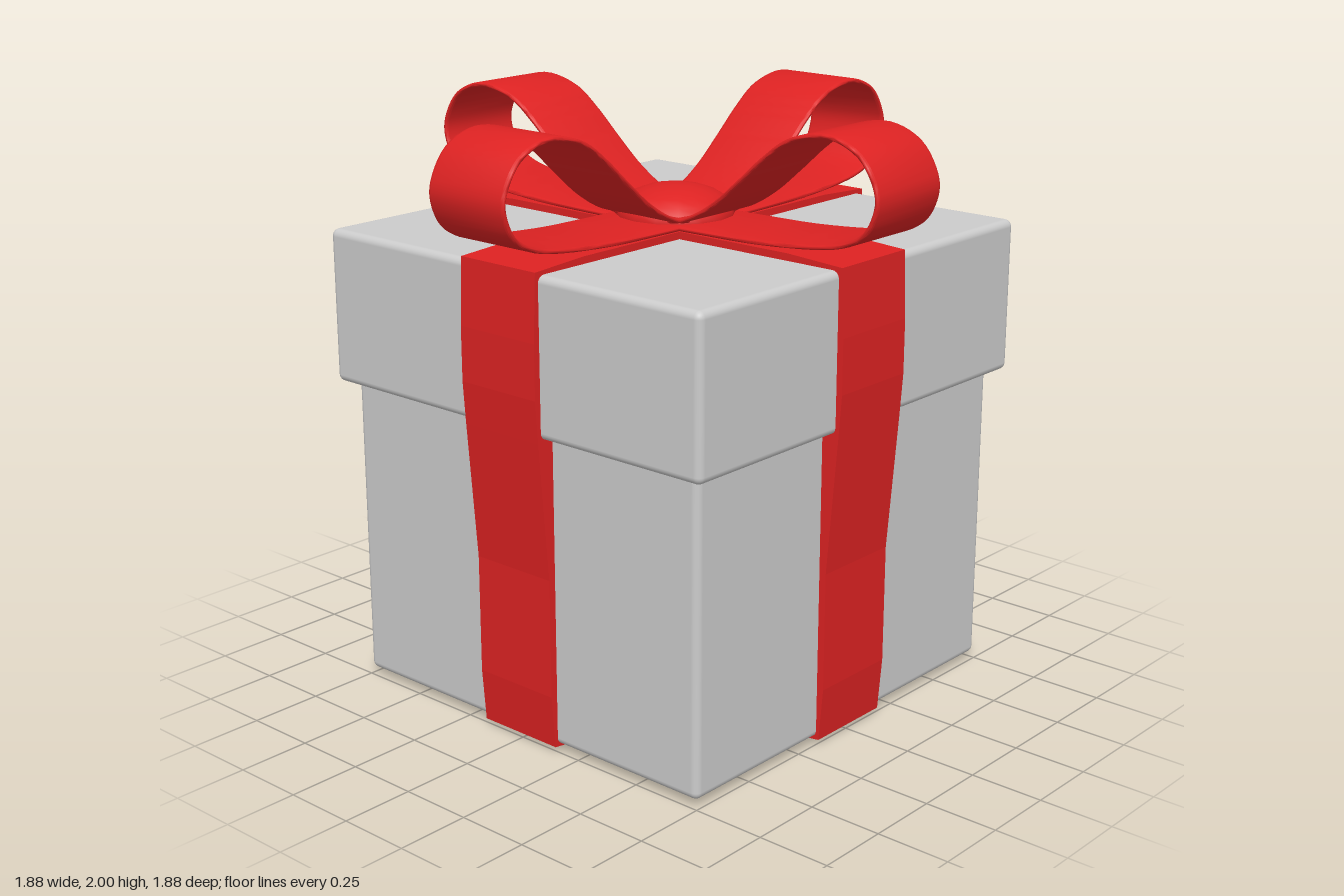
import * as THREE from 'three';
import { RoundedBoxGeometry } from 'three/addons/geometries/RoundedBoxGeometry.js';
import { toCreasedNormals } from 'three/addons/utils/BufferGeometryUtils.js';

const grey = new THREE.MeshStandardMaterial({ color: 0xcccccc });
const red = new THREE.MeshStandardMaterial({ color: 0xdd2222 });
const WIDTH = 0.32;

function addMesh(parent, name, geometry, material) {
  const mesh = new THREE.Mesh(geometry, material);
  mesh.name = name;
  parent.add(mesh);
  return mesh;
}

// Rounded box between two heights
function addBox(parent, name, size, y0, y1) {
  const geometry = new RoundedBoxGeometry(size, y1 - y0, size, 3, 0.025);
  addMesh(parent, name, geometry, grey).position.y = (y0 + y1) / 2;
}

// Band round the whole box: its outline hugs the base and swells over the lid
function bandGeometry() {
  const side = [
    [0.6, 0], [0.76, 0.02], [0.775, 0.2], [0.775, 0.6], [0.812, 1.06],
    [0.822, 1.2], [0.822, 1.38], [0.812, 1.6], [0.6, 1.612],
  ];
  const mirrored = side.map(([x, y]) => [-x, y]).reverse();
  const shape = new THREE.Shape([...side, ...mirrored].map(([x, y]) => new THREE.Vector2(x, y)));
  const geometry = new THREE.ExtrudeGeometry(shape, { depth: WIDTH, bevelEnabled: false });
  return geometry.translate(0, 0, -WIDTH / 2);
}

// Bow loop: a thin strip following a teardrop curve, with softened edges
function loopGeometry() {
  const path = new THREE.SplineCurve([
    [0.02, 1.63], [0.17, 1.65], [0.29, 1.714], [0.4, 1.805], [0.5, 1.893], [0.6, 1.96],
    [0.74, 1.988], [0.86, 1.945], [0.924, 1.85], [0.921, 1.77], [0.87, 1.697],
    [0.75, 1.652], [0.5, 1.627], [0.25, 1.621], [0.02, 1.62],
  ].map(([x, y]) => new THREE.Vector2(x, y)));
  const outer = [], inner = [];
  const steps = 72, half = 0.003, bevel = 0.005;
  for (let i = 0; i <= steps; i++) {
    const p = path.getPoint(i / steps);
    const t = path.getTangent(i / steps);
    const n = new THREE.Vector2(-t.y, t.x).multiplyScalar(half);
    outer.push(p.clone().add(n));
    inner.push(p.clone().sub(n));
  }
  const geometry = new THREE.ExtrudeGeometry(new THREE.Shape([...outer, ...inner.reverse()]), {
    depth: WIDTH - 0.02, bevelThickness: 0.01, bevelSize: bevel, bevelSegments: 2,
  });
  geometry.translate(0, 0, -(WIDTH - 0.02) / 2);
  return toCreasedNormals(geometry, 0.7);
}

export function createModel() {
  const model = new THREE.Group();
  model.name = 'giftBox';

  addBox(model, 'base', 1.5, 0.025, 1.3);
  addBox(model, 'lid', 1.6, 1.068, 1.588);

  // Two crossing bands
  const band = bandGeometry();
  for (let i = 0; i < 2; i++) {
    addMesh(model, i ? 'sideBand' : 'frontBand', band, red).rotation.y = i * Math.PI / 2;
  }

  // Four-loop bow with a flattened knot
  const bow = new THREE.Group();
  bow.name = 'bow';
  model.add(bow);
  const loop = loopGeometry();
  ['leftLoop', 'backLoop', 'rightLoop', 'frontLoop'].forEach((name, i) => {
    addMesh(bow, name, loop, red).rotation.y = i * Math.PI / 2;
  });
  const knot = addMesh(bow, 'knot', new THREE.SphereGeometry(0.2, 16, 12), red);
  knot.scale.y = 0.5;
  knot.position.y = 1.625;

  return model;
}
